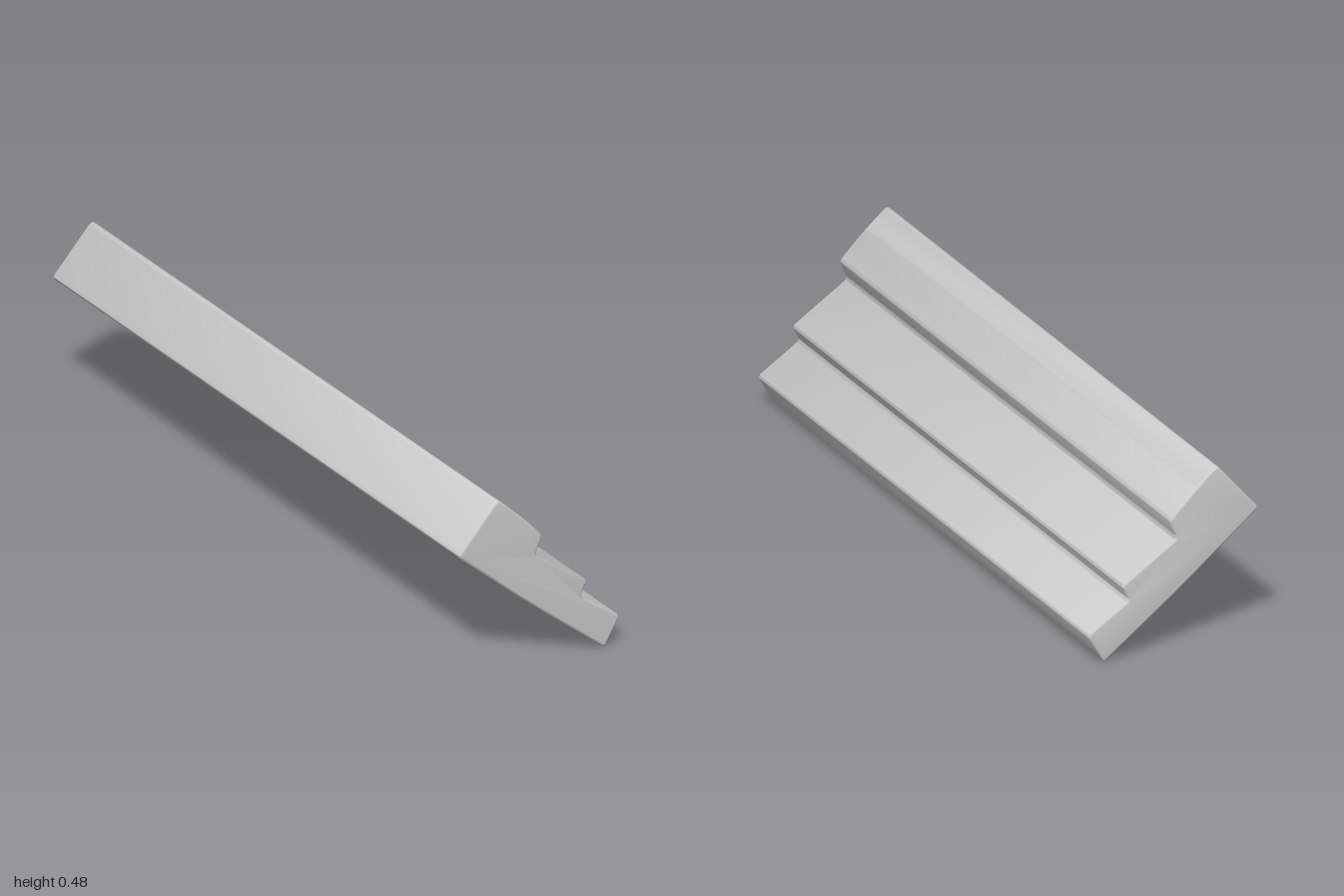
import * as THREE from 'three';
import { toCreasedNormals } from 'three/addons/utils/BufferGeometryUtils.js';

// Closed outline with every corner softened; each corner is [x, y, cut length]
function roundedOutline(corners) {
  const shape = new THREE.Shape();
  const n = corners.length;
  const toward = (a, b, d) => {
    const p = new THREE.Vector2(a[0], a[1]);
    const dir = new THREE.Vector2(b[0], b[1]).sub(p).normalize();
    return p.addScaledVector(dir, d);
  };
  corners.forEach((c, i) => {
    const start = toward(c, corners[(i + n - 1) % n], c[2]);
    const end = toward(c, corners[(i + 1) % n], c[2]);
    if (i === 0) shape.moveTo(start.x, start.y);
    else shape.lineTo(start.x, start.y);
    shape.quadraticCurveTo(c[0], c[1], end.x, end.y);
  });
  shape.closePath();
  return shape;
}

export function createModel() {
  const group = new THREE.Group();
  group.name = 'steppedMoulding';

  // Cross-section: sloping, slightly bowed back and three stepped faces
  const profile = roundedOutline([
    [-0.241, 0.349, 0.013],
    [-0.02, 0.163, 0.08],
    [0.193, -0.004, 0.012],
    [0.239, 0.076, 0.012],
    [0.122, 0.156, 0.012],
    [0.143, 0.196, 0.012],
    [-0.011, 0.302, 0.012],
    [0.011, 0.352, 0.012],
    [-0.05, 0.416, 0.04],
    [-0.123, 0.482, 0.014],
  ]);

  // Extruded along z with softly rounded ends
  const bevel = 0.007;
  const geometry = new THREE.ExtrudeGeometry(profile, {
    depth: 2 - 2 * bevel,
    curveSegments: 6,
    bevelEnabled: true,
    bevelThickness: bevel,
    bevelSize: bevel,
    bevelOffset: -bevel,
    bevelSegments: 4,
  });
  geometry.translate(0, 0, bevel - 1);

  const moulding = new THREE.Mesh(
    toCreasedNormals(geometry, 0.6),
    new THREE.MeshStandardMaterial({ color: 0xcccccc })
  );
  moulding.name = 'moulding';
  group.add(moulding);
  return group;
}
